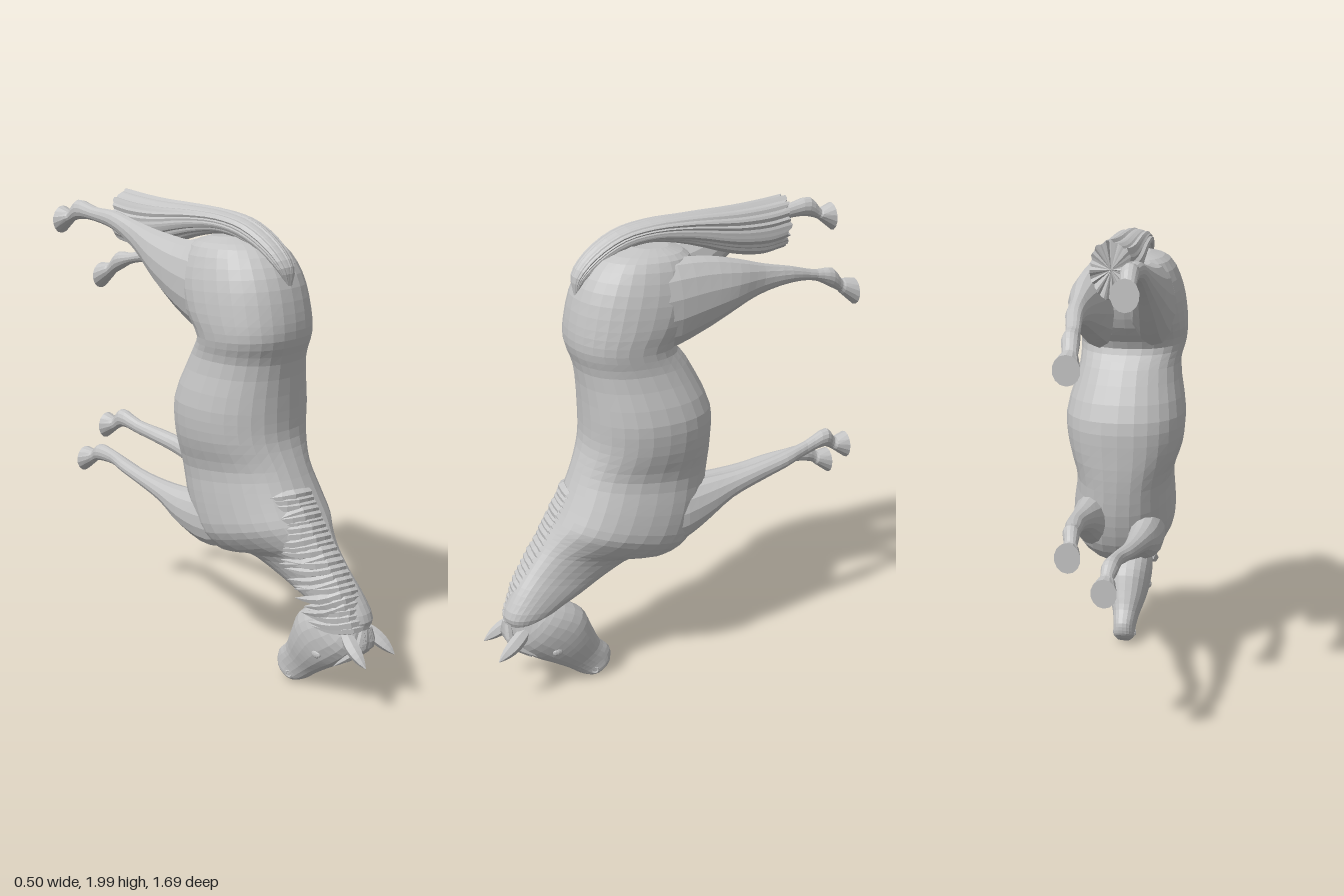
import * as THREE from 'three';

const coat = new THREE.MeshStandardMaterial({ color: 0xc4c4c4, flatShading: true });
coat.name = 'grey coat';

let seed = 7;
const rand = () => (seed = (seed * 16807) % 2147483647) / 2147483647;

// Loft through sections [backZ, backY, bellyZ, bellyY, centreX, halfWidth].
// power below 1 squares the section, groove(column) scales it, fray moves the last ring along z.
function loft(name, rows, { sides = 24, steps = 3, power = 1, groove = () => 1, fray = 0 } = {}) {
  const backs = new THREE.CatmullRomCurve3(rows.map(r => new THREE.Vector3(r[4], r[1], r[0])));
  const bellies = new THREE.CatmullRomCurve3(rows.map(r => new THREE.Vector3(r[5], r[3], r[2])));
  const rings = (rows.length - 1) * steps;
  const pos = [], index = [];
  const scale = Array.from({ length: sides }, (_, j) => groove(j));
  const bend = t => Math.sign(t) * Math.abs(t) ** power;
  for (let i = 0; i <= rings; i++) {
    const d = backs.getPoint(i / rings), v = bellies.getPoint(i / rings);
    const cy = (d.y + v.y) / 2, cz = (d.z + v.z) / 2;
    for (let j = 0; j < sides; j++) {
      const a = j / sides * Math.PI * 2, c = bend(Math.cos(a)) * scale[j], s = bend(Math.sin(a)) * scale[j];
      const push = i === rings ? fray * (rand() - 0.5) : 0;
      pos.push(d.x + v.x * s, cy + (d.y - v.y) / 2 * c, cz + (d.z - v.z) / 2 * c + push);
    }
  }
  for (let i = 0; i < rings; i++) for (let j = 0; j < sides; j++) {
    const a = i * sides + j, b = i * sides + (j + 1) % sides;
    index.push(a, b, a + sides, b, b + sides, a + sides);
  }
  // end caps
  for (const ring of [0, rings]) {
    const mid = [0, 0, 0], at = pos.length / 3;
    for (let j = 0; j < sides; j++) for (let k = 0; k < 3; k++) mid[k] += pos[(ring * sides + j) * 3 + k] / sides;
    pos.push(...mid);
    for (let j = 0; j < sides; j++) {
      const a = ring * sides + j, b = ring * sides + (j + 1) % sides;
      index.push(at, ...(ring ? [a, b] : [b, a]));
    }
  }
  // turn the faces outwards if the enclosed volume is negative
  let volume = 0;
  const p = k => new THREE.Vector3().fromArray(pos, index[k] * 3);
  for (let k = 0; k < index.length; k += 3) volume += p(k).dot(p(k + 1).cross(p(k + 2)));
  if (volume < 0) index.reverse();
  const geo = new THREE.BufferGeometry();
  geo.setAttribute('position', new THREE.Float32BufferAttribute(pos, 3));
  geo.setIndex(index);
  geo.computeVertexNormals();
  return named(name, geo);
}

function named(name, geo) {
  const mesh = new THREE.Mesh(geo, coat);
  mesh.name = name;
  return mesh;
}

// Lock of hair (or an ear): a tube narrowed towards its tip
function lock(name, points, radius) {
  const curve = new THREE.CatmullRomCurve3(points.map(q => new THREE.Vector3(...q)));
  const n = 7, sides = 6, geo = new THREE.TubeGeometry(curve, n, radius, sides);
  const at = geo.attributes.position, v = new THREE.Vector3();
  for (let k = 0; k < at.count; k++) {
    const t = Math.floor(k / (sides + 1)) / n;
    v.fromBufferAttribute(at, k).lerp(curve.getPointAt(t), 0.3 * (1 - t) ** 4 + 0.95 * t ** 3);
    at.setXYZ(k, v.x, v.y, v.z);
  }
  geo.computeVertexNormals();
  return named(name, geo);
}

export function createModel() {
  const horse = new THREE.Group();
  horse.name = 'horse';

  // Rump, barrel, chest and neck
  horse.add(loft('body', [
    [.17, 1.875, .0, 1.865, -.02, .08], [.30, 1.84, -.08, 1.83, -.02, .16],
    [.385, 1.74, -.12, 1.70, -.02, .21], [.425, 1.6, -.08, 1.58, -.02, .227],
    [.43, 1.5, -.01, 1.48, -.02, .222], [.40, 1.4, -.06, 1.40, -.01, .212],
    [.385, 1.2, -.155, 1.2, 0, .25], [.39, 1.08, -.16, 1.05, 0, .24],
    [.43, .97, -.15, .9, .005, .205], [.48, .86, -.12, .74, .015, .215],
    [.53, .77, -.06, .605, .02, .215], [.57, .71, .04, .535, .02, .165],
    [.61, .65, .17, .55, .025, .12], [.67, .57, .31, .495, .035, .092],
    [.73, .49, .43, .44, .045, .085], [.78, .39, .56, .385, .05, .08],
    [.76, .34, .62, .33, .05, .06],
  ], { sides: 28, power: .88 }));

  // Head from poll to muzzle
  horse.add(loft('head', [
    [.77, .37, .62, .42, .05, .06], [.745, .25, .56, .41, .05, .095],
    [.67, .175, .44, .345, .05, .1], [.59, .125, .395, .25, .05, .085],
    [.51, .07, .36, .17, .05, .06], [.46, .03, .315, .12, .05, .05],
    [.42, .01, .315, .07, .05, .048], [.39, .003, .335, .04, .05, .03],
  ], { sides: 20, power: .88 }));
  for (const side of [-1, 1]) {
    const eye = named('eye', new THREE.SphereGeometry(.022, 10, 8));
    eye.scale.set(.5, .8, 1.1);
    eye.position.set(.05 + side * .09, .215, .585);
    const nostril = named('nostril', new THREE.TorusGeometry(.013, .005, 5, 10));
    nostril.position.set(.05 + side * .045, .045, .40);
    nostril.rotation.y = side * 1.2;
    const ear = lock('ear', [[.05 + side * .055, .33, .71], [.05 + side * .078, .29, .77],
      [.05 + side * .092, .24, .845]], .034);
    horse.add(eye, nostril, ear);
  }

  // Legs, each rooted inside the body and ending in a flared hoof
  const legs = {
    leftHind: [
      [.30, 1.76, .22, 1.54, .06, .09], [.1, 1.83, .08, 1.465, .095, .10],
      [-.1, 1.83, -.08, 1.515, .105, .09],
      [-.25, 1.80, -.2, 1.575, .115, .07], [-.37, 1.765, -.34, 1.635, .115, .043],
      [-.5, 1.735, -.5, 1.665, .11, .035], [-.64, 1.695, -.63, 1.65, .09, .028],
      [-.72, 1.69, -.71, 1.61, .085, .035], [-.77, 1.635, -.755, 1.585, .08, .03],
      [-.78, 1.635, -.77, 1.57, .08, .036], [-.835, 1.63, -.835, 1.515, .08, .052],
    ],
    rightHind: [
      [.30, 1.76, .22, 1.54, -.09, .09], [.1, 1.83, .08, 1.47, -.115, .10],
      [-.1, 1.845, -.06, 1.53, -.12, .09],
      [-.25, 1.865, -.2, 1.63, -.125, .07], [-.38, 1.89, -.34, 1.75, -.125, .043],
      [-.5, 1.915, -.48, 1.83, -.125, .035], [-.62, 1.92, -.62, 1.86, -.13, .028],
      [-.73, 1.94, -.71, 1.86, -.13, .035], [-.785, 1.885, -.765, 1.845, -.13, .03],
      [-.79, 1.885, -.775, 1.84, -.13, .035], [-.84, 1.905, -.845, 1.785, -.13, .052],
    ],
    leftFront: [
      [.22, .84, .22, .64, .08, .09], [.05, .86, .05, .60, .12, .09],
      [-.1, .865, -.08, .655, .125, .075],
      [-.25, .87, -.22, .75, .13, .05], [-.4, .89, -.38, .805, .13, .036],
      [-.5, .905, -.5, .835, .12, .036], [-.62, .925, -.61, .86, .1, .026],
      [-.73, .96, -.71, .88, .09, .033], [-.77, .915, -.755, .86, .085, .026],
      [-.78, .91, -.77, .85, .085, .035], [-.83, .925, -.83, .805, .085, .05],
    ],
    rightFront: [
      [.24, .80, .24, .64, -.07, .07], [.07, .80, .07, .56, -.095, .08],
      [-.1, .78, -.1, .605, -.105, .068],
      [-.25, .775, -.23, .675, -.1, .05], [-.4, .785, -.39, .715, -.09, .036],
      [-.52, .805, -.52, .745, -.08, .034], [-.62, .82, -.61, .757, -.065, .026],
      [-.72, .825, -.71, .75, -.055, .033], [-.765, .79, -.755, .735, -.05, .026],
      [-.775, .785, -.765, .725, -.05, .035], [-.83, .79, -.83, .675, -.05, .05],
    ],
  };
  for (const [name, rows] of Object.entries(legs)) {
    horse.add(loft(name + 'Leg', rows.slice(0, 10), { sides: 14 }));
    horse.add(loft(name + 'Hoof', rows.slice(9), { sides: 14, steps: 1 }));
  }

  // Tail, grooved into strands with a frayed end
  horse.add(loft('tail', [
    [.40, 1.70, .385, 1.71, -.02, .012], [.405, 1.78, .35, 1.76, -.025, .045],
    [.345, 1.86, .26, 1.82, -.03, .058], [.22, 1.935, .16, 1.86, -.035, .068],
    [.08, 1.965, .05, 1.87, -.035, .075], [-.1, 1.975, -.1, 1.84, -.035, .08],
    [-.3, 1.98, -.3, 1.775, -.035, .085], [-.44, 1.99, -.44, 1.755, -.035, .085],
    [-.535, 2, -.535, 1.77, -.035, .083],
  ], { sides: 56, groove: () => .88 + rand() * .13, fray: .025 }));

  // Mane: locks laid over the right side of the neck
  const crest = new THREE.CatmullRomCurve3([[.015, .865, .475], [.02, .71, .57],
    [.03, .54, .692], [.04, .365, .77]].map(q => new THREE.Vector3(...q)));
  const count = 24;
  for (let i = 0; i < count; i++) {
    const u = i / (count - 1), c = crest.getPoint(u), w = .125 - .045 * u, sway = (rand() - .5) * .06;
    horse.add(lock('maneLock', [
      [c.x + .02, c.y, c.z - .008],
      [c.x - w * .5 - .012, c.y + .005, c.z - .02],
      [c.x - w * .9 - .016, c.y - .015 + sway * .5, c.z - .08],
      [c.x - w - .02, c.y - .035 + sway, c.z - .17 - rand() * .04],
    ], .022 + rand() * .008));
  }

  // Forelock fanned over the forehead
  for (let i = 0; i < 7; i++) {
    const s = i / 3 - 1;
    horse.add(lock('forelock', [[.045 + s * .02, .36, .77], [.045 + s * .045, .28, .765],
      [.045 + s * .075, .185 + rand() * .03, .67 + .025 * (1 - s * s)]], .018));
  }
  return horse;
}
